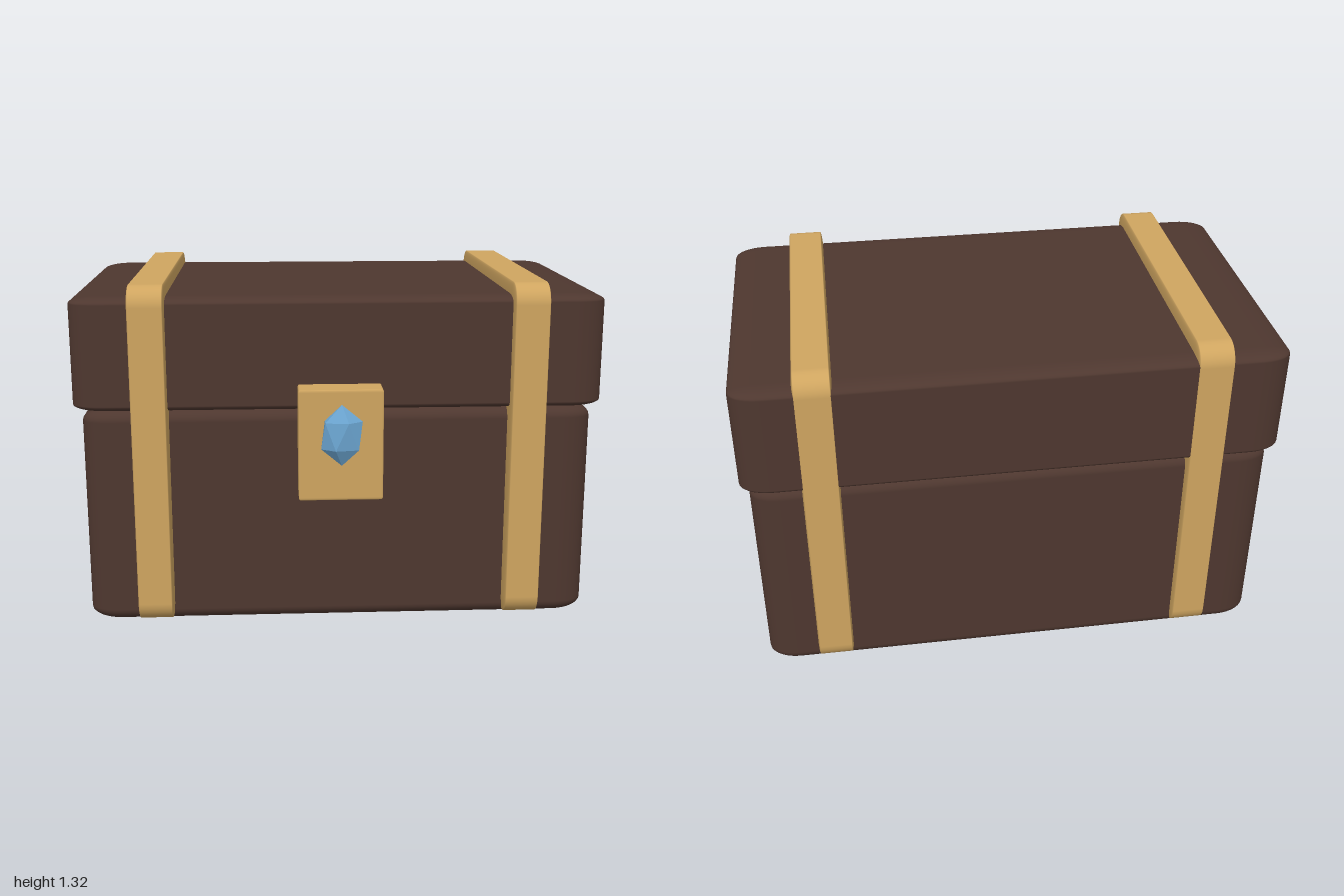
import * as THREE from 'three';
import { RoundedBoxGeometry } from 'three/addons/geometries/RoundedBoxGeometry.js';
import { ConvexGeometry } from 'three/addons/geometries/ConvexGeometry.js';

const wood = new THREE.MeshStandardMaterial({ name: 'dark wood', color: 0x4e372f });
const brass = new THREE.MeshStandardMaterial({ name: 'brass', color: 0xcfa560 });
const crystal = new THREE.MeshStandardMaterial({ name: 'blue crystal', color: 0x6ca6d2 });

// Unit bevelled block stretched between two corners, so the bevel stretches with it
function block(name, material, min, max, bevel = 0.06) {
  const mesh = new THREE.Mesh(new RoundedBoxGeometry(1, 1, 1, 4, bevel), material);
  const lo = new THREE.Vector3(...min);
  const hi = new THREE.Vector3(...max);
  mesh.name = name;
  mesh.scale.subVectors(hi, lo);
  mesh.position.addVectors(lo, hi).multiplyScalar(0.5);
  return mesh;
}

// Twenty-sided gem standing on a point: two poles and two staggered rings of five
function gemGeometry() {
  const points = [new THREE.Vector3(0, 1, 0), new THREE.Vector3(0, -1, 0)];
  const y = 1 / Math.sqrt(5);
  for (let i = 0; i < 5; i++) {
    const a = (i * 2 * Math.PI) / 5;
    const x = 2 * y * Math.cos(a);
    const z = 2 * y * Math.sin(a);
    points.push(new THREE.Vector3(x, y, z), new THREE.Vector3(-x, -y, z));
  }
  return new ConvexGeometry(points);
}

export function createModel() {
  const chest = new THREE.Group();
  chest.name = 'chest';

  // Body and overhanging lid
  chest.add(block('body', wood, [-0.97, 0, -0.655], [0.97, 0.852, 0.485]));
  chest.add(block('lid', wood, [-1, 0.845, -0.685], [1, 1.275, 0.515]));

  // Straps wrapping front, top and back
  for (const side of [-1, 1]) {
    const x = side * 0.71;
    const name = side > 0 ? 'leftStrap' : 'rightStrap';
    chest.add(block(name, brass, [x - 0.07, 0.02, -0.687], [x + 0.07, 1.322, 0.55]));
  }

  // Lock plate with its gem
  chest.add(block('lockPlate', brass, [-0.158, 0.53, 0.46], [0.156, 0.95, 0.62], 0.025));
  const gem = new THREE.Mesh(gemGeometry(), crystal);
  gem.name = 'gem';
  gem.scale.set(0.085, 0.115, 0.041);
  gem.position.set(0, 0.787, 0.65);
  chest.add(gem);

  return chest;
}
